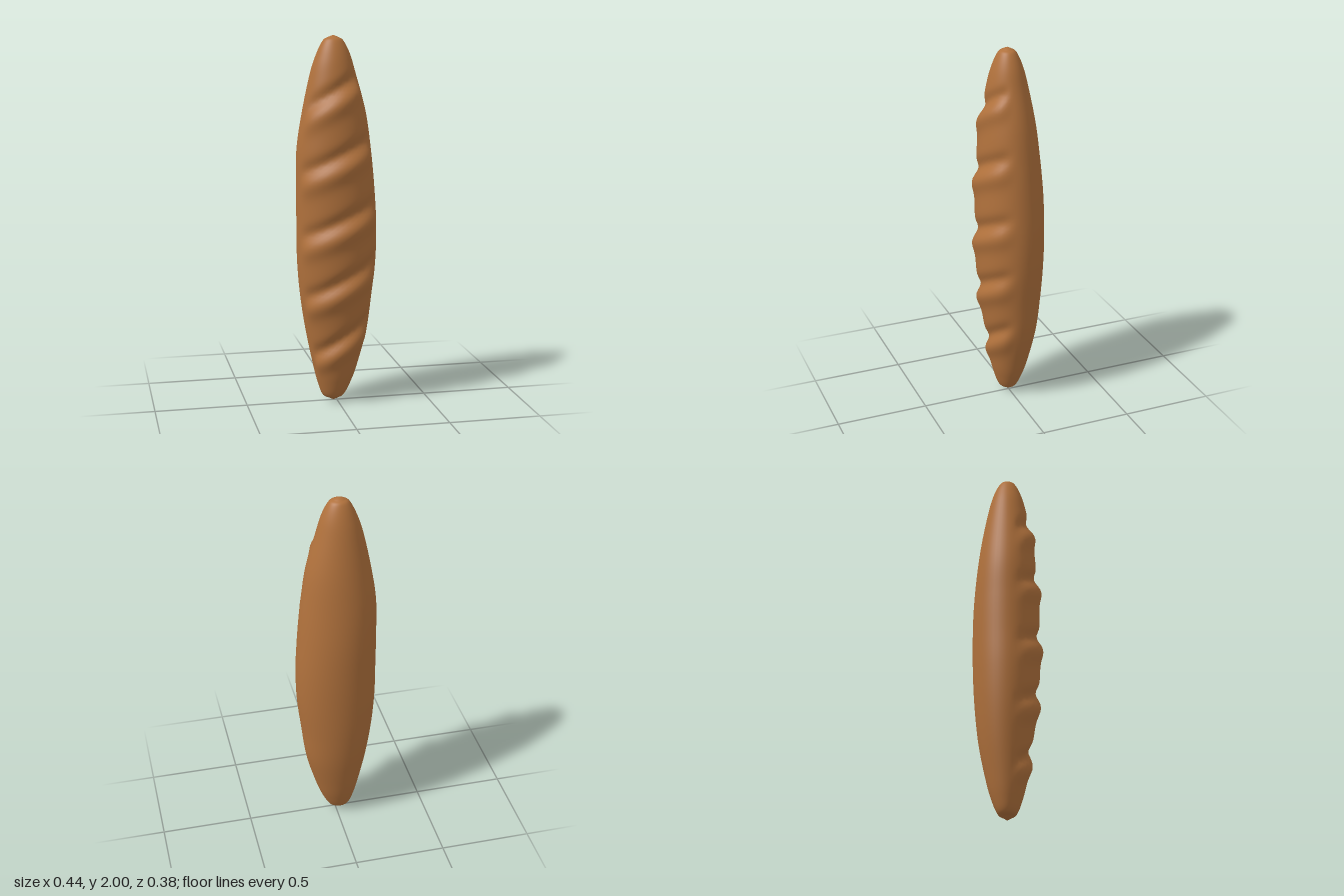
import * as THREE from 'three';

// Loaf outline: height, left edge x, right edge x, back z, front z
const PROFILE = [
  [0.015, -0.045, 0.01, -0.022, 0.022],
  [0.035, -0.08, 0.04, -0.05, 0.05],
  [0.10, -0.105, 0.075, -0.078, 0.075],
  [0.20, -0.13, 0.112, -0.107, 0.1],
  [0.40, -0.17, 0.166, -0.148, 0.13],
  [0.60, -0.2, 0.192, -0.171, 0.158],
  [0.80, -0.216, 0.213, -0.183, 0.174],
  [1.00, -0.218, 0.216, -0.187, 0.176],
  [1.20, -0.219, 0.204, -0.183, 0.174],
  [1.40, -0.216, 0.184, -0.167, 0.161],
  [1.60, -0.186, 0.154, -0.142, 0.142],
  [1.80, -0.143, 0.1, -0.105, 0.105],
  [1.90, -0.11, 0.07, -0.079, 0.079],
  [1.97, -0.075, 0.035, -0.048, 0.048],
  [1.99, -0.045, 0.005, -0.022, 0.022],
];

// Diagonal scores on the front: height at x = 0, slope
const SCORES = [[0.36, 0.62], [0.69, 0.5], [1.02, 0.44], [1.37, 0.46], [1.72, 0.58]];

const bell = (t, width) => Math.exp(-(t * t) / (width * width));

// Outward push of the crust: a groove with a raised lip under each score
function crustOffset(x, y, facing, halfWidth) {
  const fade = THREE.MathUtils.smoothstep(facing, 0.22, 0.65)
    * THREE.MathUtils.smoothstep(halfWidth, 0.06, 0.15);
  let offset = 0;
  for (const [height, slope] of SCORES) {
    const t = y - height - slope * x;
    offset += 0.018 * bell(t + 0.075, 0.055) - 0.02 * bell(t - 0.012, 0.04);
  }
  return offset * fade;
}

function loafGeometry(rows = 140, sides = 48) {
  // Matching curves for the centre line and the half widths of the loaf
  const centre = new THREE.CatmullRomCurve3(
    PROFILE.map(([y, l, r, b, f]) => new THREE.Vector3((l + r) / 2, y, (b + f) / 2)), false, 'catmullrom', 0.5);
  const radius = new THREE.CatmullRomCurve3(
    PROFILE.map(([y, l, r, b, f]) => new THREE.Vector3((r - l) / 2, y, (f - b) / 2)), false, 'catmullrom', 0.5);
  const positions = [];
  const indices = [];

  for (let i = 0; i <= rows; i++) {
    const c = centre.getPoint(i / rows);
    const r = radius.getPoint(i / rows);
    for (let j = 0; j < sides; j++) {
      const a = (j / sides) * Math.PI * 2;
      const sx = Math.sin(a);
      const sz = Math.cos(a);
      const x = c.x + r.x * sx;
      const push = crustOffset(x, c.y, sz, r.x);
      positions.push(x + push * sx * 0.6, c.y, c.z + r.z * sz + push * sz);
    }
  }
  for (let i = 0; i < rows; i++) {
    for (let j = 0; j < sides; j++) {
      const k = (j + 1) % sides;
      const a = i * sides + j, b = i * sides + k;
      indices.push(a, b, b + sides, a, b + sides, a + sides);
    }
  }

  // Blunt pointed ends
  const bottom = positions.length / 3;
  positions.push(-0.018, 0, 0, -0.018, 2, 0);
  const last = rows * sides;
  for (let j = 0; j < sides; j++) {
    const k = (j + 1) % sides;
    indices.push(bottom, k, j, bottom + 1, last + j, last + k);
  }

  const geometry = new THREE.BufferGeometry();
  geometry.setAttribute('position', new THREE.Float32BufferAttribute(positions, 3));
  geometry.setIndex(indices);
  geometry.computeVertexNormals();
  return geometry;
}

export function createModel() {
  const group = new THREE.Group();
  group.name = 'breadLoaf';
  const crust = new THREE.MeshStandardMaterial({ color: 0xb0713c });
  crust.name = 'bakedCrust';
  const loaf = new THREE.Mesh(loafGeometry(), crust);
  loaf.name = 'scoredLoaf';
  group.add(loaf);
  return group;
}
